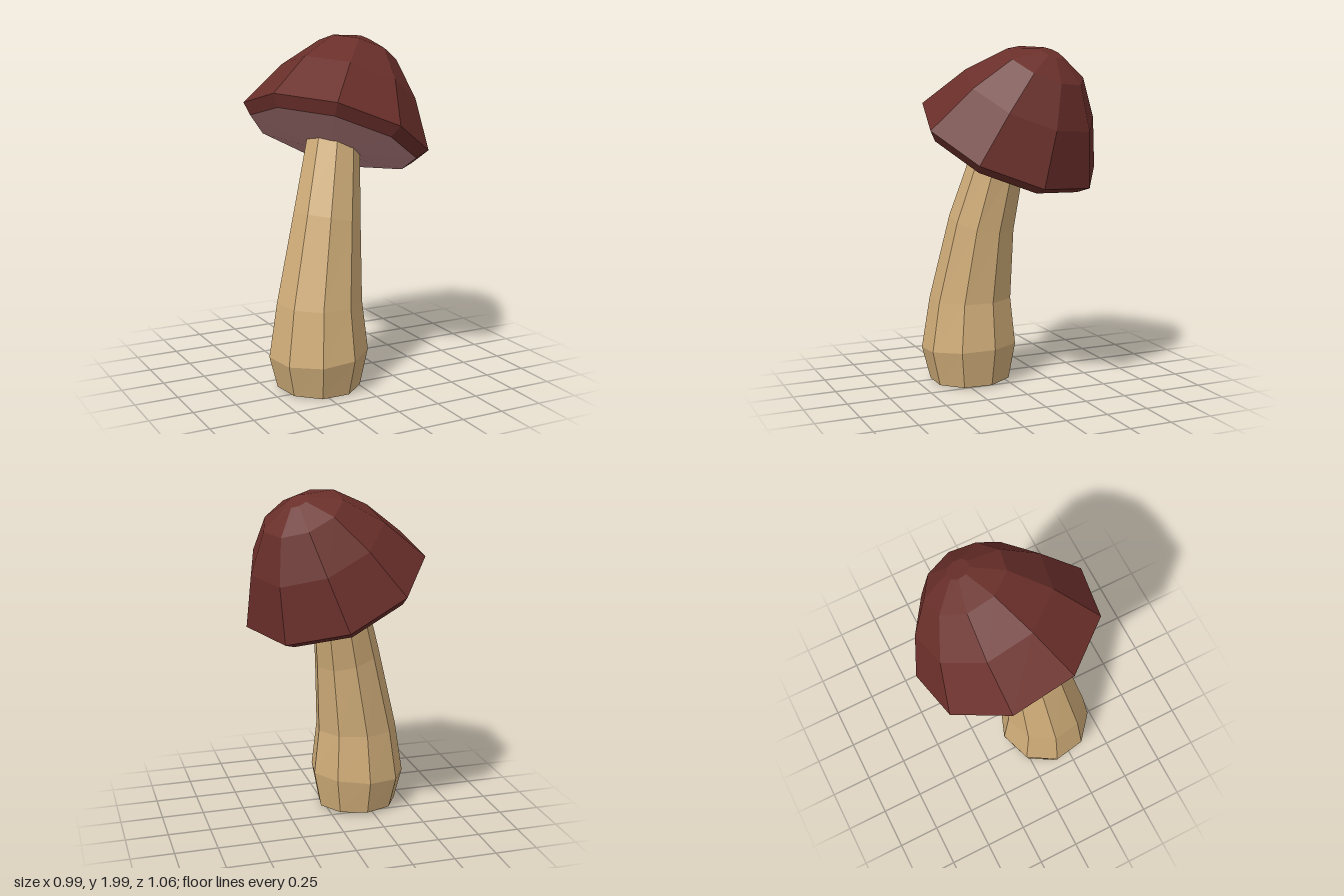
import * as THREE from 'three';

const SIDES = 9;
const UP = new THREE.Vector3(0, 1, 0);

// Skin over tilted polygon rings, listed from bottom to top, closed at the ends on request.
// Each ring: { c: centre, n: facing direction, r: radius }; phase is measured from +z.
function loft(rings, phase, closeBottom, closeTop) {
  const pos = [];
  const index = [];
  for (const { c, n, r } of rings) {
    const q = new THREE.Quaternion().setFromUnitVectors(UP, n.clone().normalize());
    for (let i = 0; i < SIDES; i++) {
      const a = THREE.MathUtils.degToRad(phase) + (i / SIDES) * Math.PI * 2;
      const p = new THREE.Vector3(Math.sin(a) * r, 0, Math.cos(a) * r).applyQuaternion(q).add(c);
      pos.push(p.x, p.y, p.z);
    }
  }
  for (let k = 0; k < rings.length - 1; k++) {
    for (let i = 0; i < SIDES; i++) {
      const j = (i + 1) % SIDES;
      const a = k * SIDES + i, b = k * SIDES + j;
      index.push(a, b, b + SIDES, a, b + SIDES, a + SIDES);
    }
  }
  const top = (rings.length - 1) * SIDES;
  for (let i = 1; i < SIDES - 1; i++) {
    if (closeBottom) index.push(0, i + 1, i);
    if (closeTop) index.push(top, top + i, top + i + 1);
  }
  const geo = new THREE.BufferGeometry();
  geo.setAttribute('position', new THREE.Float32BufferAttribute(pos, 3));
  geo.setIndex(index);
  const flat = geo.toNonIndexed();
  flat.computeVertexNormals();
  return flat;
}

function part(name, geometry, color) {
  const mesh = new THREE.Mesh(geometry, new THREE.MeshStandardMaterial({ color, flatShading: true }));
  mesh.name = name;
  return mesh;
}

export function createModel() {
  const group = new THREE.Group();
  group.name = 'mushroom';
  const v = (x, y, z) => new THREE.Vector3(x, y, z);

  // Leaning stem, swollen near the foot
  const stem = [
    { c: v(-0.205, 0.012, 0.172), n: v(0, 1, 0.04), r: 0.242 },
    { c: v(-0.208, 0.215, 0.176), n: v(-0.07, 1, 0.04), r: 0.288 },
    { c: v(-0.198, 0.51, 0.17), n: v(0, 1, 0.02), r: 0.247 },
    { c: v(-0.125, 0.975, 0.124), n: v(0.24, 1, -0.12), r: 0.197 },
    { c: v(-0.045, 1.37, 0.046), n: v(0.42, 1, -0.24), r: 0.16 },
    { c: v(-0.01, 1.44, 0.02), n: v(0.45, 1, -0.25), r: 0.155 },
  ];
  group.add(part('stem', loft(stem, 20, true, true), 0xd0ad79));

  // Cap rings all face one way and step along a slightly steeper lean, as [distance, radius]
  const facing = v(0.455, 1, -0.26);
  const lean = v(0.48, 1, -0.29).normalize();
  const centre = v(-0.003, 1.45, -0.002);
  const capRings = (list) =>
    list.map(([t, r]) => ({ c: centre.clone().addScaledVector(lean, t), n: facing, r }));

  // Domed cap with a narrow bevelled rim
  const dome = capRings([[-0.06, 0.495], [0, 0.552], [0.29, 0.403], [0.5, 0.237], [0.58, 0.068]]);
  group.add(part('cap', loft(dome, 11, false, true), 0x6a2f2a));

  // Shallow underside that swells towards the stem
  const under = capRings([[-0.11, 0.17], [-0.06, 0.495]]);
  group.add(part('capUnderside', loft(under, 11, true, false), 0xb88082));

  return group;
}
